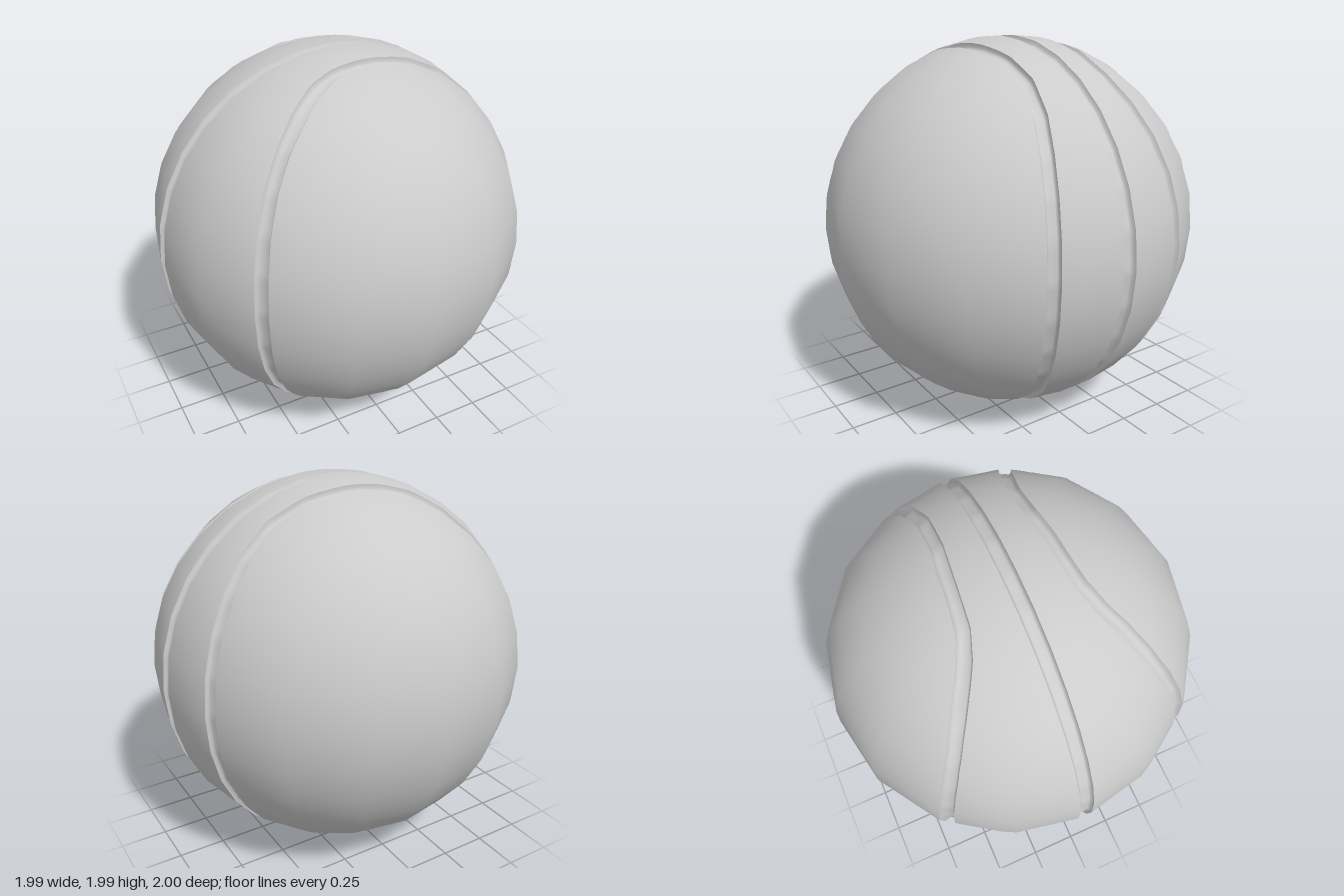
import * as THREE from 'three';

const AROUND = 192;                       // steps around the z axis
const STEP = Math.PI / 8;                 // the ball is a 16 x 16 sided sphere about y
const DEPTH = 0.028;                      // groove depth
const CENTRE = 0.037;                     // half width of the centre groove

// Edges of the curved groove: latitude towards z, listed against cos(angle around z)
const KEYS = [-1, -0.63, -0.425, -0.3, -0.16, 0, 0.15, 0.29, 0.495, 0.68, 1];
const OUTER = [0.778, 0.568, 0.457, 0.384, 0.323, 0.3, 0.289, 0.268, 0.268, 0.312, 0.427];
const INNER = [0.7, 0.486, 0.366, 0.297, 0.249, 0.232, 0.217, 0.202, 0.201, 0.24, 0.36];

function lookup(table, c) {
  let k = 0;
  while (k < KEYS.length - 2 && c > KEYS[k + 1]) k++;
  return THREE.MathUtils.mapLinear(c, KEYS[k], KEYS[k + 1], table[k], table[k + 1]);
}

// Distance from the centre to the flat facet lying in direction d
function facetRadius(d) {
  const mid = (Math.floor(Math.atan2(d.z, d.x) / STEP) + 0.5) * STEP;
  const across = d.x * Math.cos(mid) + d.z * Math.sin(mid);
  const half = STEP / 2, shrink = Math.cos(half);
  const ring = Math.min(15, Math.floor(Math.acos(THREE.MathUtils.clamp(d.y, -1, 1)) / half));
  const a = ring * half, b = a + half;
  const ax = shrink * Math.sin(a), ay = Math.cos(a);
  const bx = shrink * Math.sin(b), by = Math.cos(b);
  const nx = ay - by, ny = bx - ax;       // facet normal in the (across, y) plane
  return (nx * ax + ny * ay) / (nx * across + ny * d.y);
}

// Closed strip around z between two latitudes; profile rows are [fraction, depth]
function strip(name, from, to, profile, round) {
  const rows = profile.length, pos = [], nor = [], index = [];
  const d = new THREE.Vector3();
  for (let i = 0; i < AROUND; i++) {
    const t = (i / AROUND) * Math.PI * 2, c = Math.cos(t);
    const lo = from(c), hi = to(c);
    for (const [f, depth] of profile) {
      const phi = lo + (hi - lo) * f;
      d.set(Math.cos(phi) * c, Math.cos(phi) * Math.sin(t), Math.sin(phi));
      const r = facetRadius(d) - depth;
      pos.push(d.x * r, d.y * r, d.z * r);
      nor.push(d.x, d.y, d.z);
    }
  }
  for (let i = 0; i < AROUND; i++) {
    for (let j = 0; j < rows - 1; j++) {
      const a = i * rows + j, b = ((i + 1) % AROUND) * rows + j;
      index.push(a, b, a + 1, b, b + 1, a + 1);
    }
  }
  const geo = new THREE.BufferGeometry();
  geo.setAttribute('position', new THREE.Float32BufferAttribute(pos, 3));
  geo.setAttribute('normal', new THREE.Float32BufferAttribute(nor, 3));
  geo.setIndex(index);
  if (!round) geo.computeVertexNormals();
  const mesh = new THREE.Mesh(geo, new THREE.MeshStandardMaterial({ color: 0xcccccc }));
  mesh.name = name;
  return mesh;
}

const surface = (n) => Array.from({ length: n + 1 }, (_, j) => [j / n, 0]);
const channel = [[0, 0], [0.05, 0.65], [0.2, 1], [0.5, 1], [0.8, 1], [0.95, 0.65], [1, 0]]
  .map(([f, k]) => [f, k * DEPTH]);

export function createModel() {
  const ball = new THREE.Group();
  ball.name = 'ball';

  // Straight groove round the middle
  ball.add(strip('centreGroove', () => -CENTRE, () => CENTRE, channel, false));

  // Middle band, curved groove and end cap on each half
  const edges = [
    () => CENTRE,
    (c) => lookup(INNER, c),
    (c) => lookup(OUTER, c),
    () => Math.PI / 2,
  ];
  const parts = [
    ['Band', surface(8), true],
    ['CurvedGroove', channel, false],
    ['Cap', surface(36), true],
  ];
  for (const side of [1, -1]) {
    parts.forEach(([label, profile, round], k) => {
      const near = (c) => side * edges[k](c), far = (c) => side * edges[k + 1](c);
      const name = (side > 0 ? 'front' : 'back') + label;
      ball.add(side > 0 ? strip(name, near, far, profile, round)
        : strip(name, far, near, profile, round));
    });
  }
  ball.position.y = 1;

  const model = new THREE.Group();
  model.name = 'groovedBall';
  model.add(ball);
  return model;
}
